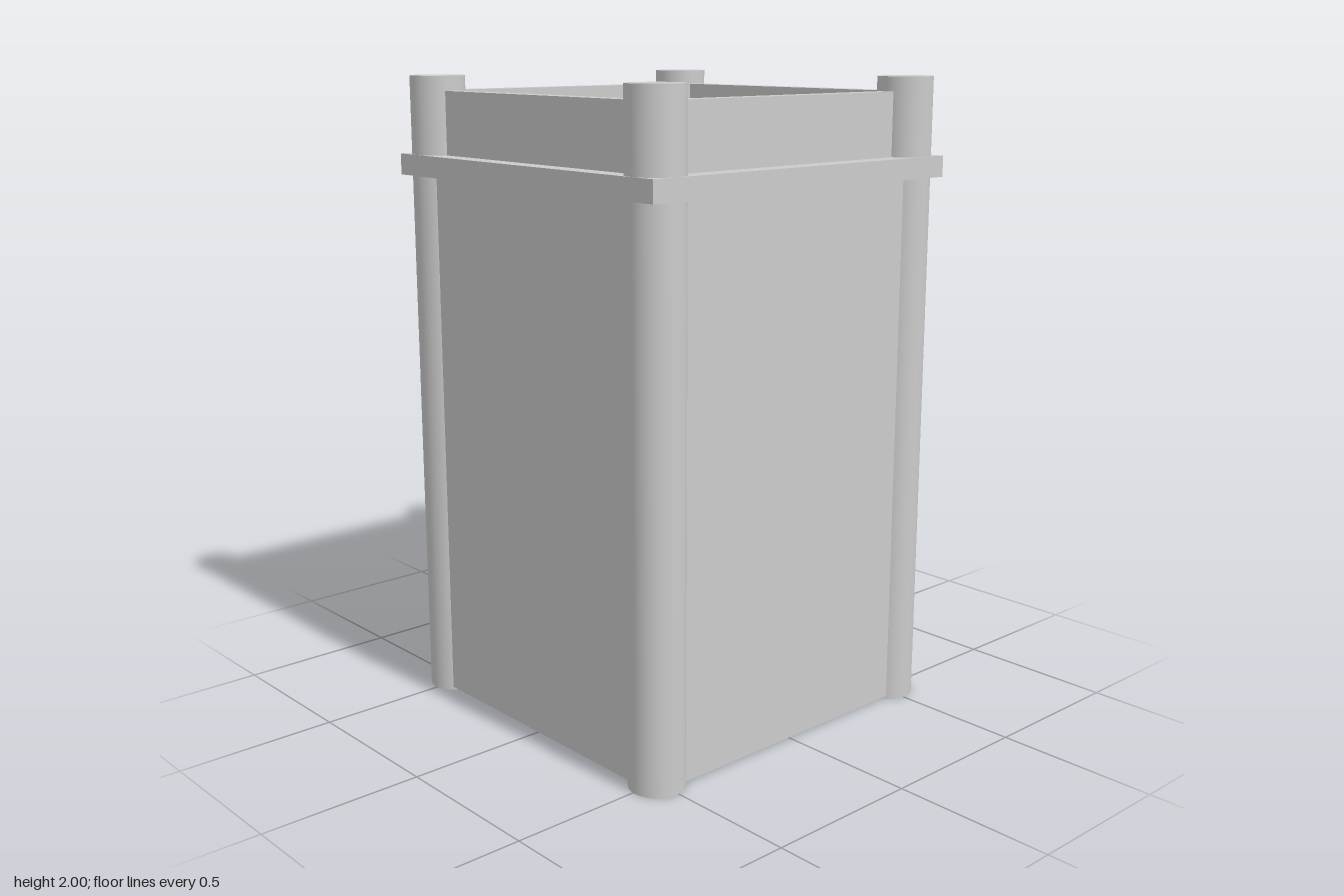
import * as THREE from 'three';

const material = new THREE.MeshStandardMaterial({ color: 0xcccccc });

function add(parent, name, geometry, x, y, z) {
  const mesh = new THREE.Mesh(geometry, material);
  mesh.name = name;
  mesh.position.set(x, y, z);
  parent.add(mesh);
  return mesh;
}

// Square tube standing between y0 and y1
function squareTube(outer, inner, y0, y1) {
  const square = (Type, h) => new Type([[-h, -h], [h, -h], [h, h], [-h, h]].map(([x, y]) => new THREE.Vector2(x, y)));
  const shape = square(THREE.Shape, outer);
  shape.holes.push(square(THREE.Path, inner));
  return new THREE.ExtrudeGeometry(shape, { depth: y1 - y0, bevelEnabled: false })
    .rotateX(-Math.PI / 2)
    .translate(0, y0, 0);
}

export function createModel() {
  const model = new THREE.Group();
  model.name = 'tower';
  const corner = 0.508;

  // Hollow shaft, open at the bottom
  add(model, 'shaftWalls', squareTube(0.565, 0.44, 0.01, 1.7), 0, 0, 0);

  // Platform slab that closes the shaft
  add(model, 'platform', new THREE.BoxGeometry(1.19, 0.065, 1.19), 0, 1.7275, 0);

  // Round corner posts
  for (const x of [-corner, corner]) {
    for (const z of [-corner, corner]) {
      add(model, 'cornerPost', new THREE.CylinderGeometry(0.085, 0.085, 2, 48), x, 1, z);
    }
  }

  // Low parapet between the posts
  for (const s of [-1, 1]) {
    add(model, 'parapetFrontBack', new THREE.BoxGeometry(0.96, 0.197, 0.056), 0, 1.8565, s * 0.503);
    add(model, 'parapetSide', new THREE.BoxGeometry(0.054, 0.197, 0.96), s * corner, 1.8565, 0);
  }
  return model;
}
